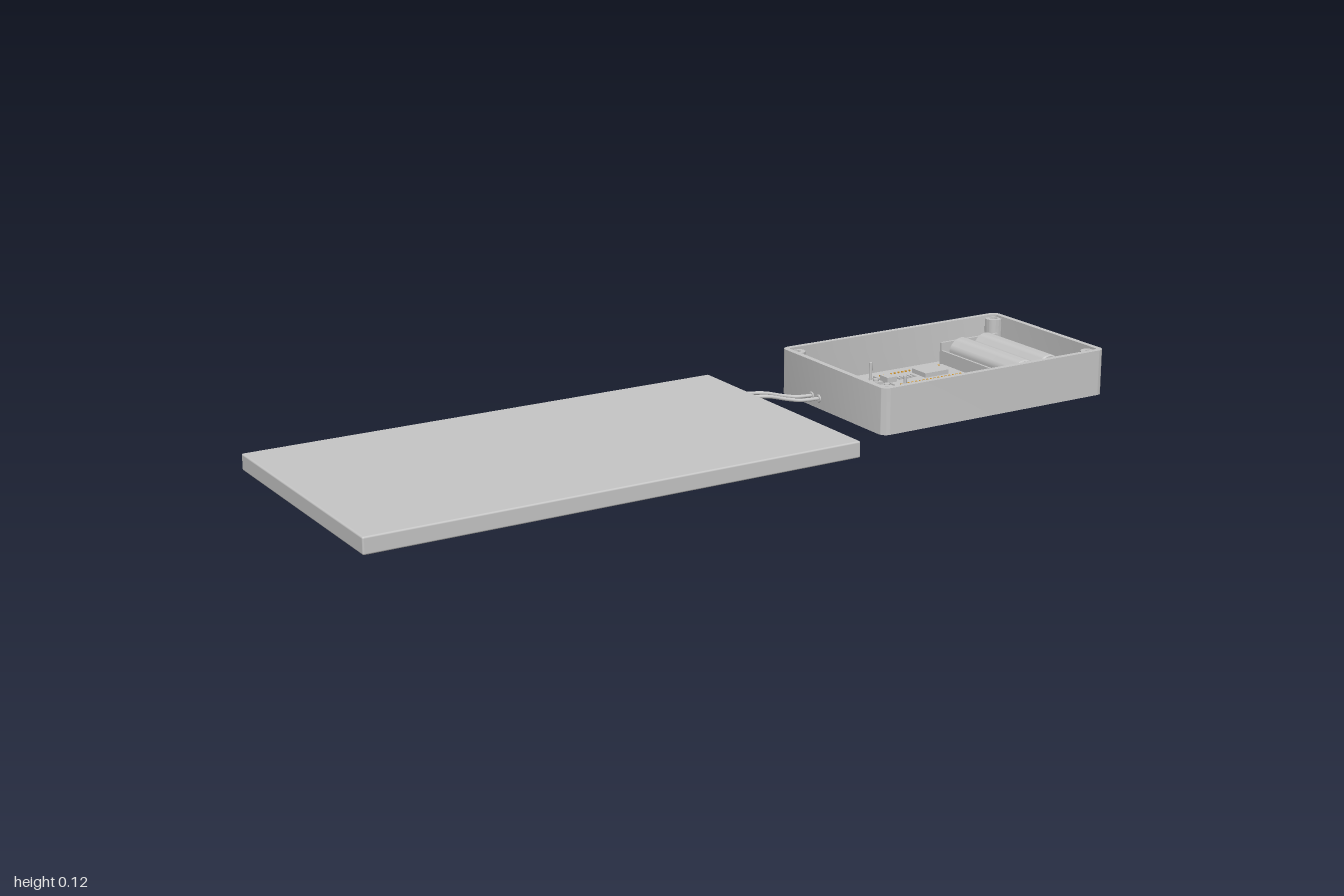
import * as THREE from 'three';
import { toCreasedNormals } from 'three/addons/utils/BufferGeometryUtils.js';
import { RoundedBoxGeometry } from 'three/addons/geometries/RoundedBoxGeometry.js';

const grey = new THREE.MeshStandardMaterial({ color: 0xc6c6c6 });
grey.name = 'light grey plastic';
const gold = new THREE.MeshStandardMaterial({ color: 0xe0a030 });
gold.name = 'gold pins';

function add(parent, name, geometry, material = grey, x = 0, y = 0, z = 0) {
  const mesh = new THREE.Mesh(geometry, material);
  mesh.name = name;
  mesh.position.set(x, y, z);
  parent.add(mesh);
  return mesh;
}

// box given by its limits on each axis
function block(parent, name, x0, x1, y0, y1, z0, z1, material = grey) {
  return add(parent, name, new THREE.BoxGeometry(x1 - x0, y1 - y0, z1 - z0), material,
    (x0 + x1) / 2, (y0 + y1) / 2, (z0 + z1) / 2);
}

function roundRect(PathType, w, d, r) {
  const p = new PathType();
  const a = w / 2, b = d / 2;
  p.absarc(a - r, b - r, r, 0, Math.PI / 2);
  p.absarc(-a + r, b - r, r, Math.PI / 2, Math.PI);
  p.absarc(-a + r, -b + r, r, Math.PI, Math.PI * 1.5);
  p.absarc(a - r, -b + r, r, Math.PI * 1.5, Math.PI * 2);
  p.closePath();
  return p;
}

// extrude a plan shape upwards
function rise(shape, height, curveSegments = 8) {
  const g = new THREE.ExtrudeGeometry(shape, { depth: height, bevelEnabled: false, curveSegments });
  return toCreasedNormals(g.rotateX(-Math.PI / 2), 0.6);
}

function circleHole(r) {
  const h = new THREE.Path();
  h.absarc(0, 0, r, 0, Math.PI * 2, true);
  return h;
}

function buildPanel(model) {
  const panel = new THREE.Group();
  panel.name = 'flatPanel';
  add(panel, 'panelSlab', new RoundedBoxGeometry(1.203, 0.039, 0.642, 3, 0.004), grey, -0.3985, 0.0235, 0);
  // shallow domed feet
  const foot = new THREE.LatheGeometry(
    [[0, 0], [0.02, 0.0005], [0.04, 0.002], [0.054, 0.005]].map(([r, y]) => new THREE.Vector2(r, y)), 32);
  for (const x of [-0.8, 0.015])
    for (const z of [-0.195, 0, 0.195]) add(panel, 'foot', foot, grey, x, 0, z);
  model.add(panel);
}

function buildEnclosure(model) {
  const box = new THREE.Group();
  box.name = 'enclosure';
  box.position.set(0.671, 0.003, 0.001);
  const w = 0.658, d = 0.426;
  const rim = roundRect(THREE.Shape, w, d, 0.02);
  rim.holes.push(roundRect(THREE.Path, w - 0.028, d - 0.028, 0.01));
  add(box, 'walls', rise(rim, 0.112));
  add(box, 'floor', rise(roundRect(THREE.Shape, w - 0.004, d - 0.004, 0.018), 0.012));
  // screw posts in the corners
  const post = new THREE.Shape();
  post.absarc(0, 0, 0.022, 0, Math.PI * 2);
  post.holes.push(circleHole(0.01));
  const postGeometry = rise(post, 0.094);
  for (const sx of [-1, 1])
    for (const sz of [-1, 1]) add(box, 'screwPost', postGeometry, grey, sx * (w / 2 - 0.027), 0.012, sz * (d / 2 - 0.027));
  model.add(box);
}

function buildBreadboard(model) {
  const board = new THREE.Group();
  board.name = 'breadboard';
  const cx = 0.548, cz = 0.01, pitch = 0.0105, s = 0.003;
  const plate = roundRect(THREE.Shape, 0.332, 0.218, 0.004);
  // rows of square contact holes
  const rows = [-0.098, -0.088, -0.07, -0.06, -0.05, -0.04, -0.03, 0.03, 0.04, 0.05, 0.06, 0.07, 0.088, 0.098];
  for (const row of rows) {
    for (let i = -14; i <= 14; i++) {
      const x = i * pitch;
      plate.holes.push(new THREE.Path([[-s, -s], [-s, s], [s, s], [s, -s]]
        .map(([u, v]) => new THREE.Vector2(x + u, row + v))));
    }
  }
  add(board, 'holePlate', rise(plate, 0.018, 3), grey, cx, 0.022, cz);
  block(board, 'basePlate', 0.382, 0.714, 0.014, 0.023, -0.099, 0.119);

  // controller board with its module and socket
  block(board, 'controllerBoard', 0.505, 0.712, 0.051, 0.057, -0.055, 0.052);
  block(board, 'radioModule', 0.603, 0.672, 0.057, 0.068, -0.03, 0.024);
  block(board, 'usbSocket', 0.498, 0.525, 0.057, 0.07, -0.018, 0.014);
  for (let i = 0; i < 5; i++) block(board, 'smallChip', 0.54 + i * 0.011, 0.546 + i * 0.011, 0.057, 0.061, -0.012, 0.006);
  for (const z of [-0.045, 0.042]) {
    block(board, 'pinStrip', 0.512, 0.7, 0.04, 0.051, z - 0.005, z + 0.005);
    for (let i = 0; i < 17; i++) {
      const x = 0.518 + i * 0.011;
      block(board, 'goldPin', x - 0.002, x + 0.002, 0.05, 0.06, z - 0.002, z + 0.002, gold);
    }
  }

  // two small plug-in parts at the near end
  for (const z of [-0.02, 0.025]) {
    block(board, 'terminalBlock', 0.4, 0.5, 0.04, 0.056, z - 0.012, z + 0.012);
    for (const x of [0.42, 0.455, 0.488])
      add(board, 'terminalScrew', new THREE.CylinderGeometry(0.007, 0.007, 0.006, 16), grey, x, 0.058, z);
  }
  // upright pins beside the controller
  for (const z of [-0.07, 0.07])
    add(board, 'uprightPin', new THREE.CylinderGeometry(0.004, 0.004, 0.05, 12), grey, 0.508, 0.062, z);
  model.add(board);
}

function buildBatteries(model) {
  const pack = new THREE.Group();
  pack.name = 'batteryPack';
  // open tray
  block(pack, 'trayFloor', 0.775, 0.952, 0.014, 0.02, -0.147, 0.14);
  for (const x of [0.775, 0.946]) block(pack, 'traySide', x, x + 0.006, 0.014, 0.062, -0.147, 0.14);
  for (const z of [-0.147, 0.133]) block(pack, 'trayEnd', 0.775, 0.952, 0.014, 0.082, z, z + 0.007);
  // two round cells with a raised contact
  const profile = [[0, -0.13], [0.033, -0.13], [0.036, -0.127], [0.036, 0.122], [0.033, 0.125],
    [0.012, 0.125], [0.012, 0.13], [0, 0.13]].map(([r, y]) => new THREE.Vector2(r, y));
  const cell = toCreasedNormals(new THREE.LatheGeometry(profile, 32), 0.5);
  [0.824, 0.904].forEach((x, i) => {
    add(pack, 'batteryCell', cell, grey, x, 0.057, -0.003).rotation.x = (i ? 1 : -1) * Math.PI / 2;
  });
  model.add(pack);
}

function buildWires(model) {
  const wires = new THREE.Group();
  wires.name = 'wires';
  const path = [[0.195, 0], [0.222, 0.003], [0.258, 0.022], [0.282, 0.062], [0.305, 0.088], [0.365, 0.1]];
  for (const [z, shift] of [[-0.175, 0], [-0.145, -0.008]]) {
    const curve = new THREE.CatmullRomCurve3(path.map(([x, dz], i) =>
      new THREE.Vector3(x + (i > 0 && i < 5 ? shift : 0), 0.028, z + dz)));
    add(wires, 'wire', new THREE.TubeGeometry(curve, 40, 0.0045, 10, false));
    add(wires, 'wireCollar', new THREE.TorusGeometry(0.007, 0.003, 8, 20), grey, 0.342, 0.028, z + 0.097).rotation.y = Math.PI / 2;
  }
  model.add(wires);
}

export function createModel() {
  const model = new THREE.Group();
  model.name = 'panelWithControlBox';
  buildPanel(model);
  buildEnclosure(model);
  buildBreadboard(model);
  buildBatteries(model);
  buildWires(model);
  return model;
}
